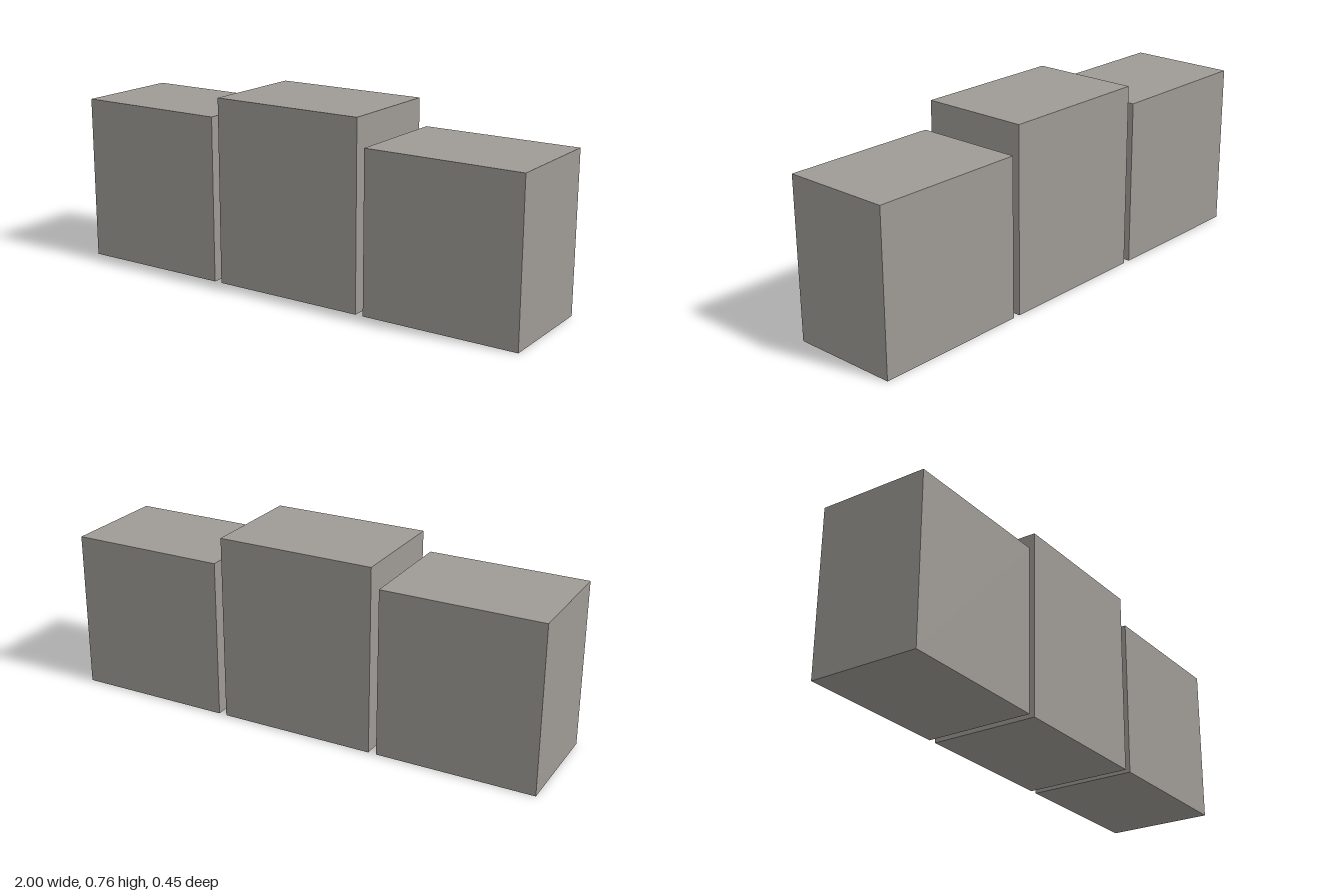
import * as THREE from 'three';

export function createModel() {
  const group = new THREE.Group();
  group.name = 'podium';

  const stone = new THREE.MeshStandardMaterial({ color: 0x9e9a95 });
  stone.name = 'warm grey stone';

  const width = 0.645, depth = 0.45, spacing = 0.6775;

  // Three plain blocks in a row, the middle one tallest
  const blocks = [
    ['rightBlock', -spacing, 0.68],
    ['centreBlock', 0, 0.76],
    ['leftBlock', spacing, 0.65],
  ];
  for (const [name, x, height] of blocks) {
    const block = new THREE.Mesh(new THREE.BoxGeometry(width, height, depth), stone);
    block.name = name;
    block.position.set(x, height / 2, 0);
    group.add(block);
  }
  return group;
}
